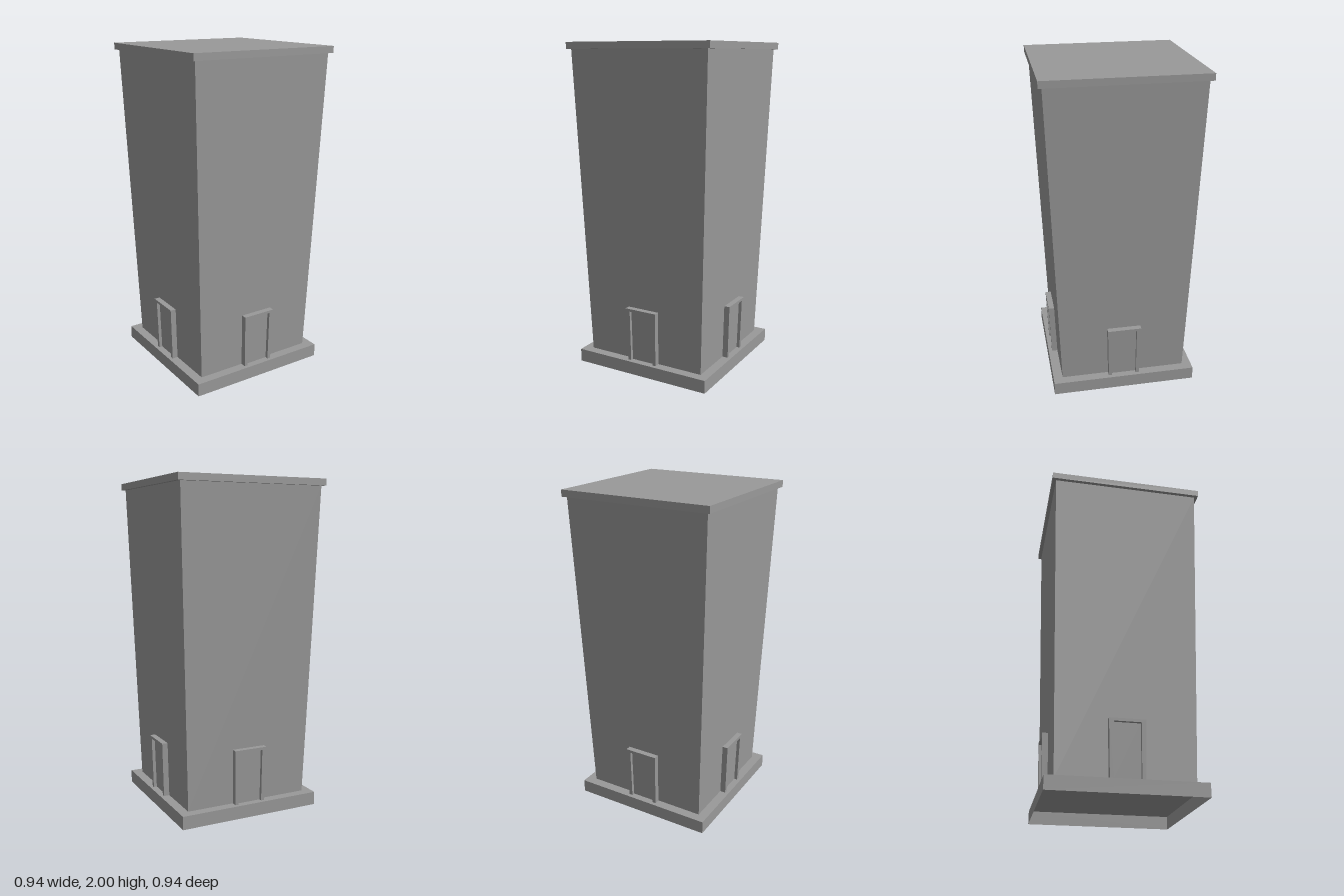
import * as THREE from 'three';

const BASE_TOP = 0.08, WALL_TOP = 1.96;
const WALL_BOTTOM_HALF = 0.39, WALL_TOP_HALF = 0.45;
const DOOR_HALF = 0.077, DOOR_TOP = 0.4;

// Distance from the centre to the outward-leaning wall at height y
const wallAt = (y) => THREE.MathUtils.mapLinear(y, BASE_TOP, WALL_TOP, WALL_BOTTOM_HALF, WALL_TOP_HALF);

// Extrudes an outline and shears it so that it stands proud of the leaning wall
function onWall(outline, proud) {
  const embed = 0.01;
  const shape = new THREE.Shape(outline.map(([x, y]) => new THREE.Vector2(x, y)));
  const geometry = new THREE.ExtrudeGeometry(shape, { depth: proud + embed, bevelEnabled: false });
  const pos = geometry.attributes.position;
  for (let i = 0; i < pos.count; i++) {
    pos.setZ(i, pos.getZ(i) - embed + wallAt(pos.getY(i)));
  }
  geometry.computeVertexNormals();
  return geometry;
}

export function createModel() {
  const model = new THREE.Group();
  model.name = 'tower';
  const material = new THREE.MeshStandardMaterial({
    color: 0x999999, flatShading: true, side: THREE.DoubleSide,
  });
  const add = (name, geometry, y = 0) => {
    const mesh = new THREE.Mesh(geometry, material);
    mesh.name = name;
    mesh.position.y = y;
    model.add(mesh);
    return mesh;
  };

  // Plinth, hollow and open underneath (the bottom face is dropped)
  const plinth = new THREE.BoxGeometry(0.895, BASE_TOP, 0.895);
  const faces = Array.from(plinth.index.array);
  faces.splice(18, 6);
  plinth.setIndex(faces);
  plinth.clearGroups();
  add('plinth', plinth, BASE_TOP / 2);

  // Four walls, widening towards the top
  const height = WALL_TOP - BASE_TOP;
  const walls = new THREE.CylinderGeometry(
    WALL_TOP_HALF * Math.SQRT2, WALL_BOTTOM_HALF * Math.SQRT2, height, 4, 1, true);
  walls.rotateY(Math.PI / 4);
  add('walls', walls, BASE_TOP + height / 2);

  // Flat overhanging roof slab
  add('roofSlab', new THREE.BoxGeometry(0.943, 2 - WALL_TOP, 0.943), (2 + WALL_TOP) / 2);

  // A framed door on each side, its panel set back inside the frame
  const frameTop = 0.417;
  const frame = onWall([
    [-0.098, BASE_TOP], [-DOOR_HALF, BASE_TOP], [-DOOR_HALF, DOOR_TOP], [DOOR_HALF, DOOR_TOP],
    [DOOR_HALF, BASE_TOP], [0.098, BASE_TOP], [0.105, frameTop], [-0.105, frameTop],
  ], 0.035);
  const panel = onWall([
    [-DOOR_HALF, BASE_TOP], [DOOR_HALF, BASE_TOP], [DOOR_HALF, DOOR_TOP], [-DOOR_HALF, DOOR_TOP],
  ], 0.015);
  ['front', 'left', 'back', 'right'].forEach((side, i) => {
    add(`${side}DoorFrame`, frame).rotation.y = i * Math.PI / 2;
    add(`${side}DoorPanel`, panel).rotation.y = i * Math.PI / 2;
  });

  return model;
}
